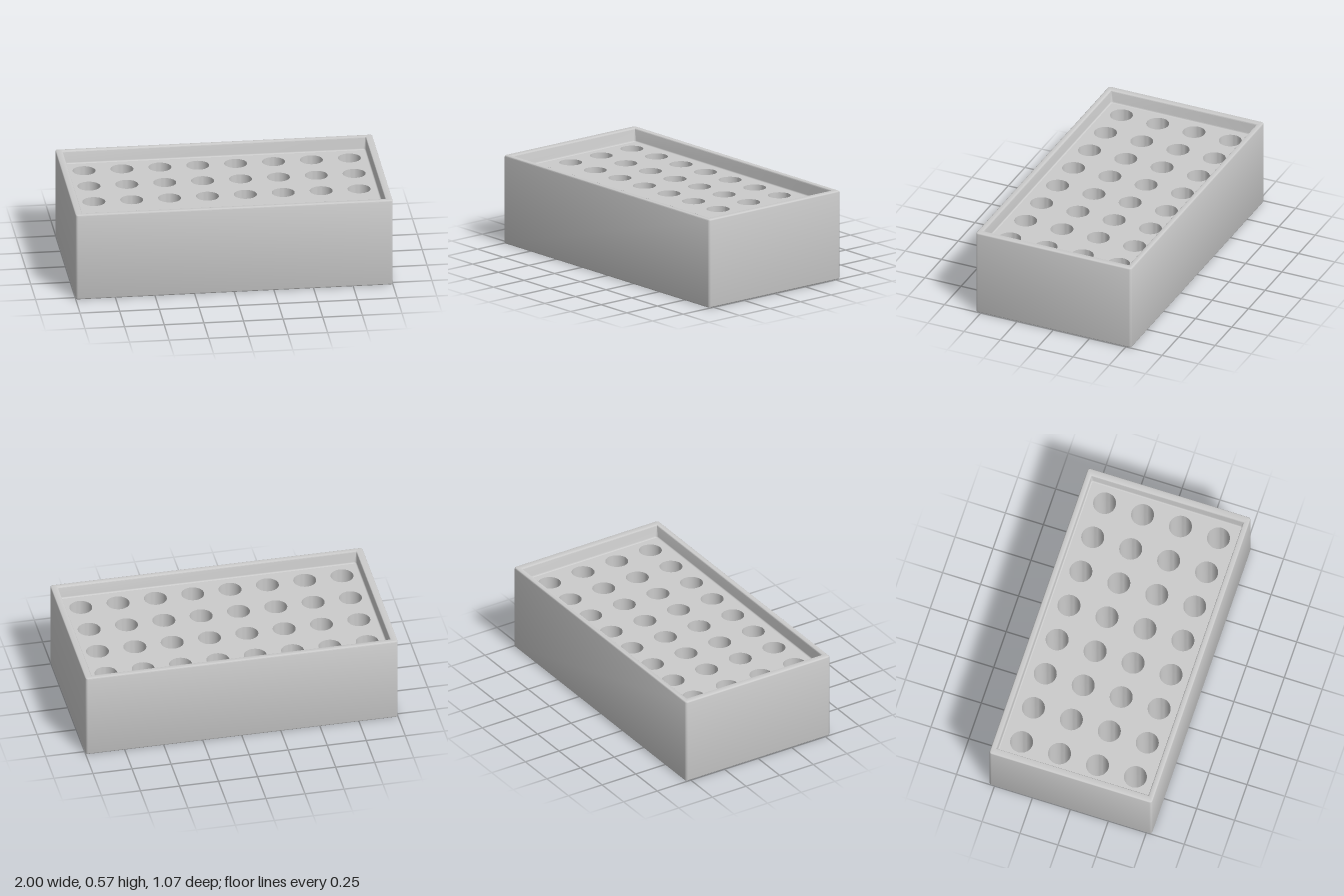
import * as THREE from 'three';
import { toCreasedNormals } from 'three/addons/utils/BufferGeometryUtils.js';

const HX = 1, HZ = 0.536, TOP = 0.573;   // outer half sizes and height
const IX = 0.955, IZ = 0.5;              // half sizes of the recess
const DECK = 0.487, FLOOR = 0.07;        // hole plate and hole bottoms
const B = 0.008;                         // edge rounding
const HOLE_R = 0.072, COLS = 8, ROWS = 4, STEP_X = 0.239, STEP_Z = 0.25;
const SEG = 3;

// Rounded rectangle, counter-clockwise, in plan (y stands for -z)
function ring(hx, hz, r) {
  const pts = [];
  [[1, 1], [-1, 1], [-1, -1], [1, -1]].forEach(([sx, sy], q) => {
    for (let k = 0; k <= SEG; k++) {
      const a = (q + k / SEG) * Math.PI / 2;
      pts.push(new THREE.Vector2(sx * (hx - r) + r * Math.cos(a), sy * (hz - r) + r * Math.sin(a)));
    }
  });
  return pts;
}

// Skin through stacked rings: [inset from hx/hz, y, corner radius]
function skin(levels) {
  const pos = [], idx = [];
  const n = 4 * (SEG + 1);
  levels.forEach(([hx, hz, y, r]) => ring(hx, hz, r).forEach(p => pos.push(p.x, y, -p.y)));
  for (let i = 0; i < levels.length - 1; i++) {
    for (let j = 0; j < n; j++) {
      const a = i * n + j, b = i * n + (j + 1) % n;
      idx.push(a, b, b + n, a, b + n, a + n);
    }
  }
  const g = new THREE.BufferGeometry();
  g.setAttribute('position', new THREE.Float32BufferAttribute(pos, 3));
  g.setIndex(idx);
  return toCreasedNormals(g, 0.6);
}

export function createModel() {
  const group = new THREE.Group();
  const mat = new THREE.MeshStandardMaterial({ color: 0xcccccc });
  const add = (geo, name, parent = group) => {
    const m = new THREE.Mesh(geo, mat);
    m.name = name;
    parent.add(m);
    return m;
  };

  // Outer walls, rim and inside of the recess, with rounded edges
  const levels = [];
  const arc = (hx, hz, y, from, to) => {
    for (let k = 0; k <= SEG; k++) {
      const a = from + (to - from) * k / SEG;
      const d = B * Math.cos(a);
      levels.push([hx + d, hz + d, y + B * Math.sin(a), B + d]);
    }
  };
  arc(HX - B, HZ - B, B, -Math.PI / 2, 0);
  arc(HX - B, HZ - B, TOP - B, 0, Math.PI / 2);
  arc(IX + B, IZ + B, TOP - B, Math.PI / 2, Math.PI);
  arc(IX - B, IZ - B, DECK + B, 0, -Math.PI / 2);
  add(skin(levels), 'walls');

  // Underside
  const bottom = new THREE.ShapeGeometry(new THREE.Shape(ring(HX - B, HZ - B, B)));
  add(bottom.rotateX(Math.PI / 2), 'underside');

  // Hole plate
  const plate = new THREE.Shape(ring(IX - B, IZ - B, B));
  const holes = new THREE.Group();
  holes.name = 'holes';
  group.add(holes);
  const cup = toCreasedNormals(new THREE.LatheGeometry([
    new THREE.Vector2(HOLE_R, DECK),
    new THREE.Vector2(HOLE_R, FLOOR),
    new THREE.Vector2(0, FLOOR),
  ], 48), 0.6);
  for (let i = 0; i < COLS; i++) {
    for (let j = 0; j < ROWS; j++) {
      const x = (i - (COLS - 1) / 2) * STEP_X, z = (j - (ROWS - 1) / 2) * STEP_Z;
      plate.holes.push(new THREE.Path().absarc(x, -z, HOLE_R, 0, Math.PI * 2, true));
      add(cup, 'hole', holes).position.set(x, 0, z);
    }
  }
  add(new THREE.ShapeGeometry(plate, 24).rotateX(-Math.PI / 2).translate(0, DECK, 0), 'holePlate');

  return group;
}
